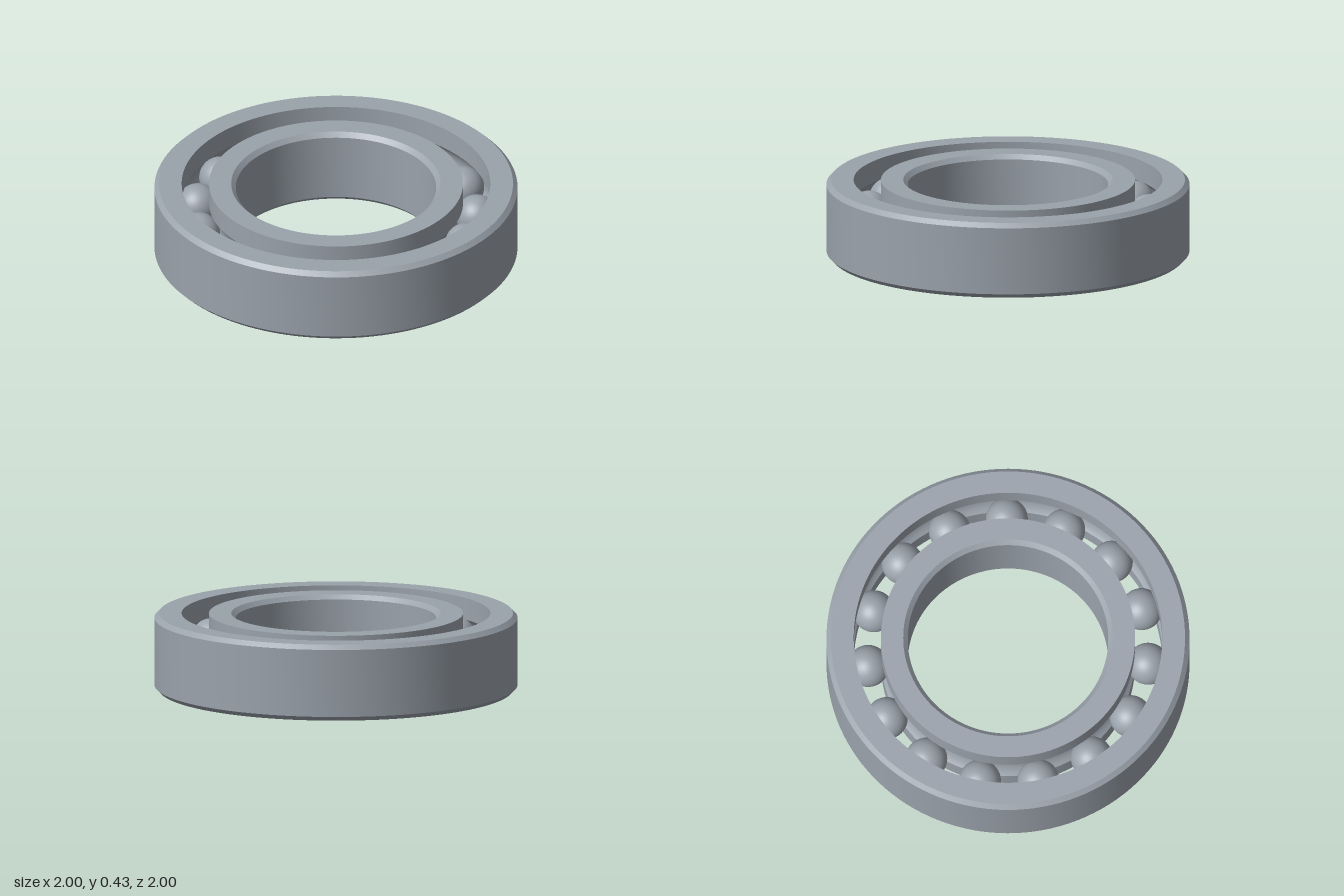
import * as THREE from 'three';
import { toCreasedNormals } from 'three/addons/utils/BufferGeometryUtils.js';

const HEIGHT = 0.425, CHAMFER = 0.025;
const PITCH = 0.775;          // radius of the circle of ball centres
const BALL = 0.116, GROOVE = 0.118, BALL_COUNT = 15;
const MID = HEIGHT / 2;

// Arc of the ball groove cut into a wall of the given radius, listed bottom to top
function groove(wall) {
  const dx = wall - PITCH, half = Math.acos(Math.abs(dx) / GROOVE);
  const points = [];
  for (let i = 0; i <= 12; i++) {
    const a = -half + (2 * half * i) / 12;
    points.push([PITCH + Math.sign(dx) * GROOVE * Math.cos(a), MID + GROOVE * Math.sin(a)]);
  }
  return points;
}

// Revolve a closed, counter-clockwise [radius, y] section
function ring(name, section, material) {
  const points = [...section, section[0]].map(([r, y]) => new THREE.Vector2(r, y));
  const geometry = toCreasedNormals(new THREE.LatheGeometry(points, 128), 0.5);
  const mesh = new THREE.Mesh(geometry, material);
  mesh.name = name;
  return mesh;
}

export function createModel() {
  const model = new THREE.Group();
  model.name = 'ballBearing';
  const steel = new THREE.MeshStandardMaterial({ color: 0x9aa2ab });
  steel.name = 'steel';

  // Outer ring: chamfered rim outside, groove inside
  const rim = 1, outerWall = 0.85;
  model.add(ring('outerRing', [
    [outerWall, 0], [rim - CHAMFER, 0], [rim, CHAMFER],
    [rim, HEIGHT - CHAMFER], [rim - CHAMFER, HEIGHT], [outerWall, HEIGHT],
    ...groove(outerWall).reverse(),
  ], steel));

  // Inner ring: groove outside, chamfered bore inside
  const bore = 0.552, innerWall = 0.7;
  model.add(ring('innerRing', [
    [bore + CHAMFER, 0], [innerWall, 0], ...groove(innerWall), [innerWall, HEIGHT],
    [bore + CHAMFER, HEIGHT], [bore, HEIGHT - CHAMFER], [bore, CHAMFER],
  ], steel));

  // Balls, evenly spaced with one on the -x axis
  const balls = new THREE.Group();
  balls.name = 'balls';
  const ballGeometry = new THREE.SphereGeometry(BALL, 40, 24);
  for (let i = 0; i < BALL_COUNT; i++) {
    const a = Math.PI + (i * 2 * Math.PI) / BALL_COUNT;
    const ball = new THREE.Mesh(ballGeometry, steel);
    ball.name = 'ball';
    ball.position.set(PITCH * Math.cos(a), MID, PITCH * Math.sin(a));
    balls.add(ball);
  }
  model.add(balls);
  return model;
}
